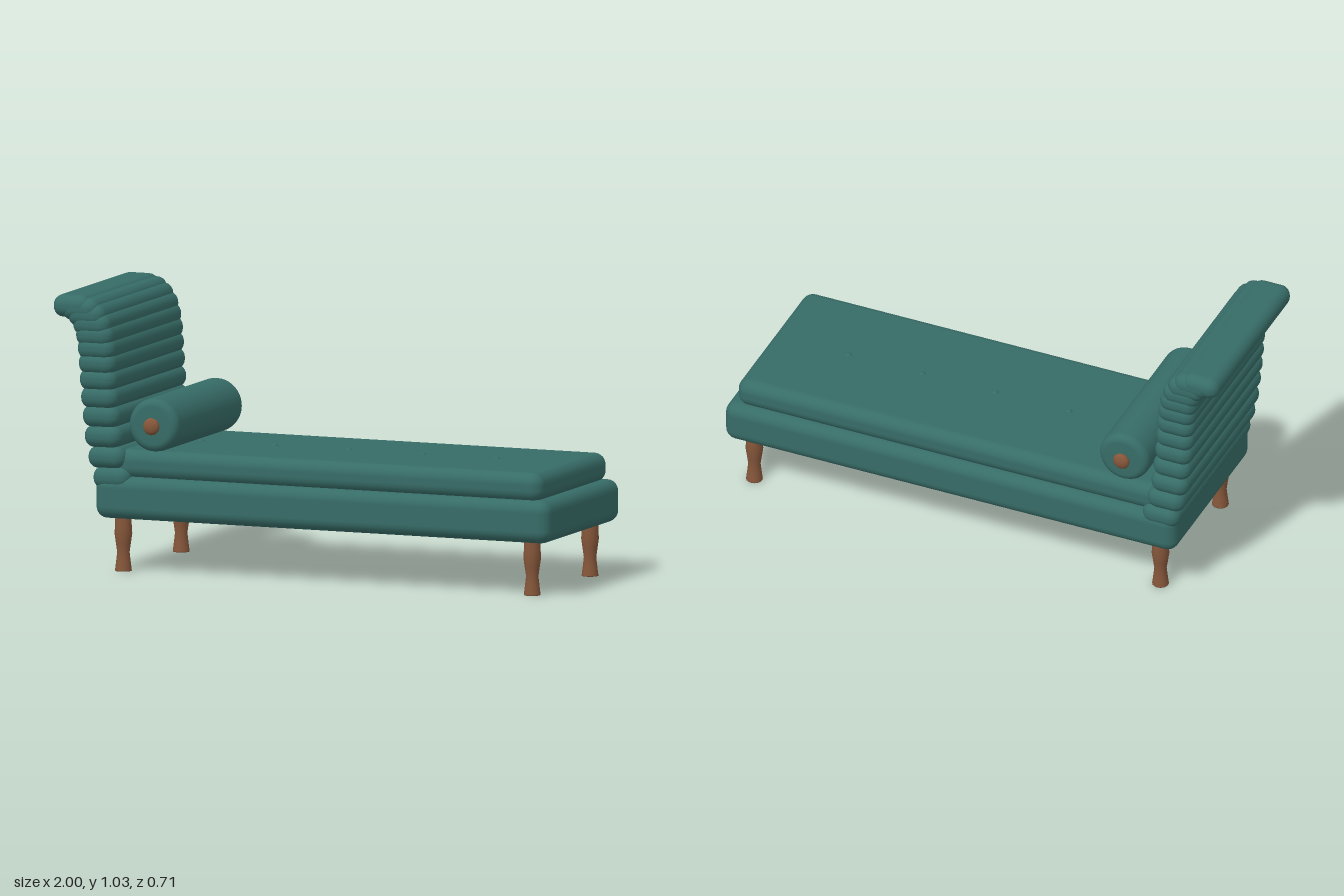
import * as THREE from 'three';
import { RoundedBoxGeometry } from 'three/addons/geometries/RoundedBoxGeometry.js';

export function createModel() {
  const model = new THREE.Group();
  model.name = 'chaiseLongue';

  const fabric = new THREE.MeshStandardMaterial({ color: 0x376c67 });
  fabric.name = 'teal fabric';
  const wood = new THREE.MeshStandardMaterial({ color: 0x85563a });
  wood.name = 'brown wood';

  const add = (name, geometry, material, x, y, z, parent = model) => {
    const mesh = new THREE.Mesh(geometry, material);
    mesh.name = name;
    mesh.position.set(x, y, z);
    parent.add(mesh);
    return mesh;
  };
  const padded = (w, h, d, r) => new RoundedBoxGeometry(w, h, d, 3, r);
  const lathe = (points, sides) =>
    new THREE.LatheGeometry(points.map(([r, y]) => new THREE.Vector2(r, y)), sides);

  // Upholstered base and seat cushion
  add('base', padded(1.83, 0.16, 0.71, 0.045), fabric, 0.085, 0.28, 0);
  add('seatCushion', padded(1.72, 0.11, 0.66, 0.045), fabric, 0.1, 0.405, 0);

  // Row of tufting buttons down the middle of the seat
  const button = new THREE.SphereGeometry(0.014, 12, 8);
  for (let i = 0; i < 5; i++) {
    add('button', button, fabric, -0.545 + i * 0.2975, 0.458, 0).scale.y = 0.6;
  }

  // Backrest: channelled rolls that sweep upward and scroll outward
  const backrest = new THREE.Group();
  backrest.name = 'backrest';
  model.add(backrest);
  const roll = padded(0.15, 0.085, 0.71, 0.04);
  const rollCentres = [
    [-0.765, 0.352], [-0.785, 0.428], [-0.8, 0.505], [-0.808, 0.58], [-0.815, 0.65],
    [-0.82, 0.716], [-0.824, 0.777], [-0.828, 0.832], [-0.835, 0.881], [-0.847, 0.922],
    [-0.867, 0.955], [-0.892, 0.976], [-0.925, 0.986],
  ];
  for (const [x, y] of rollCentres) add('backRoll', roll, fabric, x, y, 0, backrest);

  // Bolster with softly rounded ends and a wooden knob on each
  const bolsterProfile = [[0, -0.32], [0.07, -0.32]];
  for (const side of [-1, 1]) {
    for (let i = 0; i <= 4; i++) {
      const a = (side < 0 ? i : 4 - i) * Math.PI / 8;
      bolsterProfile.push([0.07 + 0.03 * Math.sin(a), side * (0.29 + 0.03 * Math.cos(a))]);
    }
  }
  bolsterProfile.splice(1, 1);
  bolsterProfile.push([0, 0.32]);
  add('bolster', lathe(bolsterProfile, 40), fabric, -0.605, 0.555, 0).rotation.x = Math.PI / 2;
  const knob = new THREE.SphereGeometry(0.032, 20, 14);
  for (const side of [-1, 1]) {
    add('bolsterKnob', knob, wood, -0.605, 0.553, side * 0.329).scale.z = 0.55;
  }

  // Four turned legs
  const leg = lathe([
    [0, 0], [0.031, 0], [0.031, 0.003], [0.027, 0.035], [0.023, 0.07], [0.028, 0.105],
    [0.033, 0.14], [0.031, 0.17], [0.03, 0.21],
  ], 16);
  for (const x of [-0.74, 0.905]) {
    for (const z of [-0.275, 0.275]) add('leg', leg, wood, x, 0, z);
  }

  return model;
}
